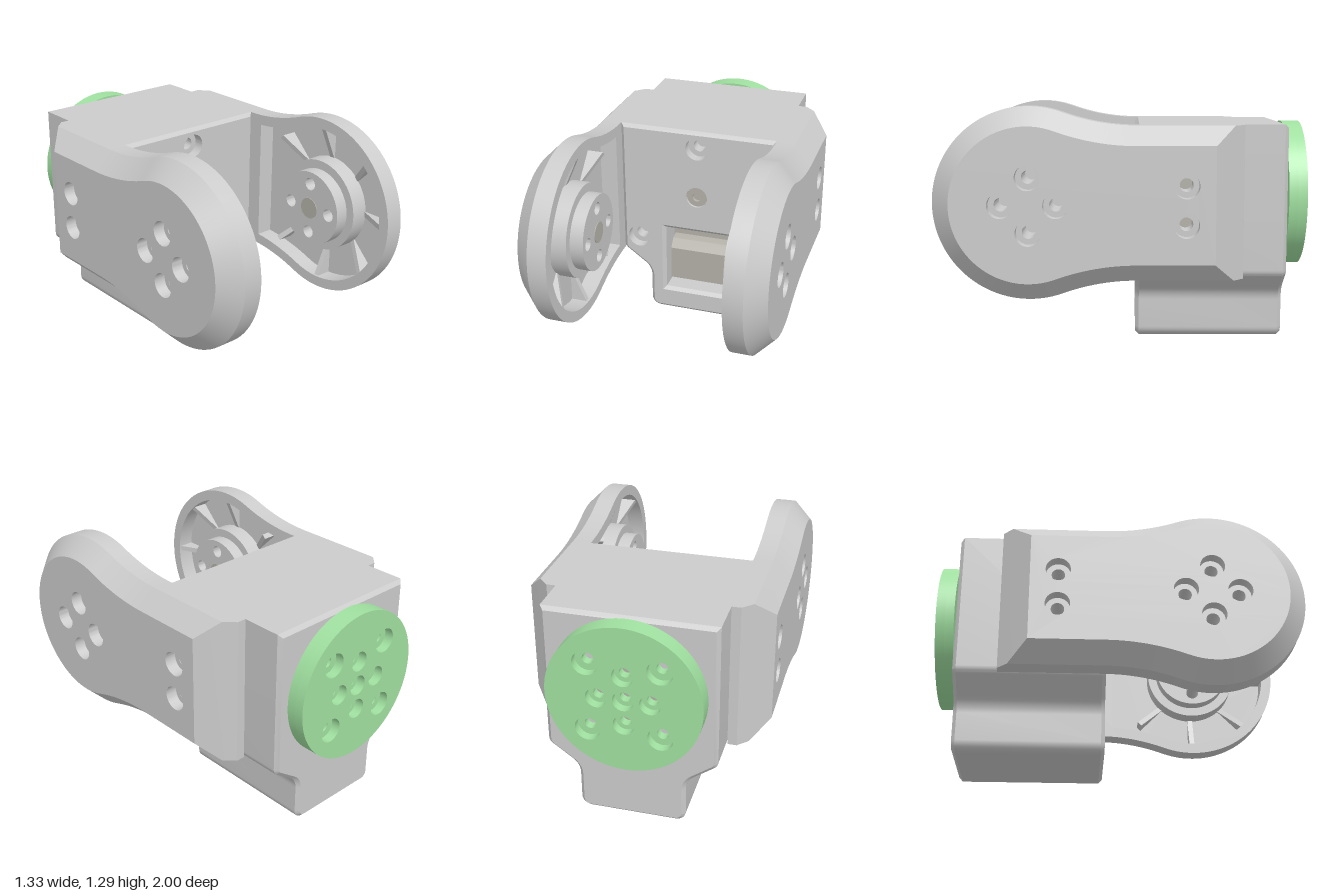
import * as THREE from 'three';
import { toCreasedNormals } from 'three/addons/utils/BufferGeometryUtils.js';

const grey = new THREE.MeshStandardMaterial({ color: 0xcccccc, side: THREE.DoubleSide });
const motorGrey = new THREE.MeshStandardMaterial({ color: 0xb3b1a8, side: THREE.DoubleSide });
const green = new THREE.MeshStandardMaterial({ color: 0xa0e0a0 });
const AXIS_Y = 0.785, PIVOT = -0.49, RAD = Math.PI / 180;

function add(parent, name, geometry, material = grey) {
  const mesh = new THREE.Mesh(geometry, material);
  mesh.name = name;
  parent.add(mesh);
  return mesh;
}

// Points along an arc, angles in degrees
function arc(cx, cy, r, a0, a1, n) {
  return Array.from({ length: n + 1 }, (_, i) => {
    const a = (a0 + (a1 - a0) * i / n) * RAD;
    return new THREE.Vector2(cx + r * Math.cos(a), cy + r * Math.sin(a));
  });
}
const circle = (x, y, r, n = 48) => arc(x, y, r, 0, 360, n).slice(0, -1);
const rect = (x0, x1, y0, y1) => [[x0, y0], [x1, y0], [x1, y1], [x0, y1]].map(p => new THREE.Vector2(...p));

// Skin joining closed outlines at successive depths: [[depth, points], ...]
function loft(levels, inward = false) {
  const pos = [];
  for (let k = 0; k + 1 < levels.length; k++) {
    const [w0, a] = levels[k], [w1, b] = levels[k + 1];
    for (let i = 0; i < a.length; i++) {
      const j = (i + 1) % a.length;
      const q = [[a[i], w0], [a[j], w0], [b[j], w1], [b[i], w1]];
      for (const c of inward ? [0, 2, 1, 0, 3, 2] : [0, 1, 2, 0, 2, 3]) pos.push(q[c][0].x, q[c][0].y, q[c][1]);
    }
  }
  const g = new THREE.BufferGeometry();
  g.setAttribute('position', new THREE.Float32BufferAttribute(pos, 3));
  return toCreasedNormals(g, 0.5);
}

function shapeOf(points, holes = []) {
  const s = new THREE.Shape(points);
  s.holes = holes.map(h => new THREE.Path(h));
  return s;
}
const face = (w, points, holes) => new THREE.ShapeGeometry(shapeOf(points, holes)).translate(0, 0, w);
const slab = (w0, w1, points, holes) => toCreasedNormals(
  new THREE.ExtrudeGeometry(shapeOf(points, holes), { depth: w1 - w0, bevelEnabled: false }), 0.5).translate(0, 0, w0);
const bore = (x, y, r, w0, w1) => loft([[w0, circle(x, y, r)], [w1, circle(x, y, r)]], true);

// Paddle outline, inset by d and cut off at u = end
function armOutline(d, end) {
  const start = end < 0.08 ? Math.asin((0.08 - end) / (1.16 + d)) / RAD : 0;
  const upper = [
    ...(end > 0.08 ? [new THREE.Vector2(end, 0.41 - d)] : []),
    ...arc(0.08, 1.57, 1.16 + d, -90 - start, -109.9, 14),
    ...arc(PIVOT, 0, 0.51 - d, 70, 180, 36).slice(1),
  ];
  const lower = upper.slice(0, -1).reverse().map(p => new THREE.Vector2(p.x, -p.y));
  return [...upper, ...lower];
}

// Bracket arm, built flat (depth = distance from the centre plane)
function makeArm(name) {
  const arm = new THREE.Group(), flat = new THREE.Group();
  arm.name = name;
  flat.rotation.y = Math.PI / 2;
  arm.add(flat);
  const pivotHoles = [[0, 0.145], [0, -0.145], [0.145, 0], [-0.145, 0]].map(([u, v]) => [PIVOT + u, v]);
  const sideHoles = [[0.335, 0.103], [0.335, -0.103]];
  const holes = [...pivotHoles, ...sideHoles];
  const cavity = armOutline(0.06, 0);

  add(flat, 'armShell', loft([
    [0.46, armOutline(0, 0.645)], [0.51, armOutline(0, 0.645)],
    [0.565, armOutline(0, 0.59)], [0.665, armOutline(0.1, 0.485)],
  ]));
  add(flat, 'armOuterFace', face(0.665, armOutline(0.1, 0.485), holes.map(([u, v]) => circle(u, v, 0.067))));
  add(flat, 'armRim', face(0.46, armOutline(0, 0.645), [cavity]));
  add(flat, 'cavityWall', loft([[0.46, cavity], [0.56, cavity]], true));
  add(flat, 'cavityFloor', face(0.56, cavity, [circle(PIVOT, 0, 0.2)]));
  for (const [u, v] of holes) add(flat, 'screwCounterbore', bore(u, v, 0.067, 0.6, 0.665));

  // Pivot boss and the collar around it
  add(flat, 'pivotBoss', slab(0.385, 0.6, circle(PIVOT, 0, 0.215, 64),
    pivotHoles.map(([u, v]) => circle(u, v, 0.036))));
  add(flat, 'bossCollar', slab(0.46, 0.56, circle(PIVOT, 0, 0.265, 64), [circle(PIVOT, 0, 0.21)]));
  const dimple = add(flat, 'bossCentre', new THREE.CylinderGeometry(0.06, 0.06, 0.006, 40).rotateX(Math.PI / 2), motorGrey);
  dimple.position.set(PIVOT, 0, 0.384);

  // Screw seats against the body
  for (const [u, v] of sideHoles) {
    add(flat, 'screwSeat', slab(0.465, 0.6, circle(u, v, 0.08), [circle(u, v, 0.036)]));
    add(flat, 'screwEnd', face(0.47, circle(u, v, 0.04)), motorGrey);
  }

  // Radial gussets inside the cavity
  for (let a = 45; a < 360; a += 45) {
    const tri = [[0.25, 0.56], [0.455, 0.56], [0.455, 0.47]].map(p => new THREE.Vector2(...p));
    add(flat, 'gusset', slab(-0.015, 0.015, tri).rotateX(Math.PI / 2).rotateZ(a * RAD).translate(PIVOT, 0, 0));
  }
  arm.position.y = AXIS_Y;
  return arm;
}

// Body outline, inset by d
function bodyOutline(d) {
  const right = [
    ...arc(0.235, 0.055, 0.055 - d, -90, 0, 8),
    ...arc(0.39, 0.21, 0.1 + d, 180, 125, 8),
    ...arc(0.41, 0.41, 0.05 - d, -55, 0, 6),
    new THREE.Vector2(0.46 - d, 1.195 - d),
  ];
  return [...right, ...right.slice().reverse().map(p => new THREE.Vector2(-p.x, p.y))];
}

function makeBody() {
  const body = new THREE.Group();
  body.name = 'body';
  const front = -0.07, back = -0.885;
  const screws = [[0, 1.09], [0.36, 0.475], [-0.36, 0.475]];
  const frame = rect(-0.215, 0.215, 0.125, 0.575), opening = rect(-0.195, 0.195, 0.145, 0.555);
  add(body, 'bodyShell', loft([
    [back, bodyOutline(0.02)], [back + 0.02, bodyOutline(0)],
    [front - 0.02, bodyOutline(0)], [front, bodyOutline(0.02)],
  ]));
  add(body, 'backFace', face(back, bodyOutline(0.02)));
  add(body, 'frontFace', face(front, bodyOutline(0.02),
    [frame, circle(0, AXIS_Y, 0.063), ...screws.map(([x, y]) => circle(x, y, 0.067))]));
  add(body, 'windowFrame', loft([[-0.3, opening], [front - 0.02, opening], [front, frame]], true));

  // Recessed screw holes
  for (const [x, y] of screws) {
    add(body, 'screwRecess', bore(x, y, 0.067, front - 0.06, front));
    add(body, 'screwSeat', slab(front - 0.14, front - 0.06, circle(x, y, 0.067), [circle(x, y, 0.035)]));
    add(body, 'screwHoleEnd', face(front - 0.13, circle(x, y, 0.035)));
  }

  // Motor parts seen through the openings
  add(body, 'shaftRecess', bore(0, AXIS_Y, 0.063, front - 0.04, front));
  add(body, 'shaftEnd', slab(front - 0.04, front - 0.01, circle(0, AXIS_Y, 0.06), [circle(0, AXIS_Y, 0.028)]), motorGrey);
  add(body, 'shaftCentre', face(front - 0.03, circle(0, AXIS_Y, 0.03)), motorGrey);
  add(body, 'motorCase', slab(-0.3, -0.24, opening), motorGrey);
  const side = [[0.3, 0.175], [0.15, 0.175], [0.15, 0.38], [0.19, 0.43], [0.24, 0.44], [0.3, 0.44]]
    .map(p => new THREE.Vector2(...p));
  add(body, 'motorConnector', slab(-0.185, 0.185, side).rotateY(Math.PI / 2), motorGrey);
  return body;
}

// Output disc with countersunk holes at the back
function makeDisc() {
  const disc = new THREE.Group();
  disc.name = 'outputDisc';
  disc.position.y = AXIS_Y;
  const spots = [[0, 0, 0.055]];
  for (let i = 0; i < 4; i++) {
    const a = i * Math.PI / 2, b = a + Math.PI / 4;
    spots.push([0.14 * Math.cos(a), 0.14 * Math.sin(a), 0.055], [0.27 * Math.cos(b), 0.27 * Math.sin(b), 0.067]);
  }
  const rim = circle(0, 0, 0.41, 96);
  add(disc, 'discOuter', slab(-1, -0.95, rim, spots.map(([x, y, r]) => circle(x, y, r, 32))), green);
  add(disc, 'discInner', slab(-0.95, -0.9, rim, spots.map(([x, y]) => circle(x, y, 0.03, 32))), green);
  add(disc, 'motorHub', slab(-0.902, -0.88, circle(0, 0, 0.2, 64)), motorGrey);
  return disc;
}

export function createModel() {
  const model = new THREE.Group();
  model.name = 'jointBracket';
  const rightArm = makeArm('rightArm');
  rightArm.rotation.z = Math.PI;
  model.add(makeBody(), makeDisc(), makeArm('leftArm'), rightArm);
  return model;
}
